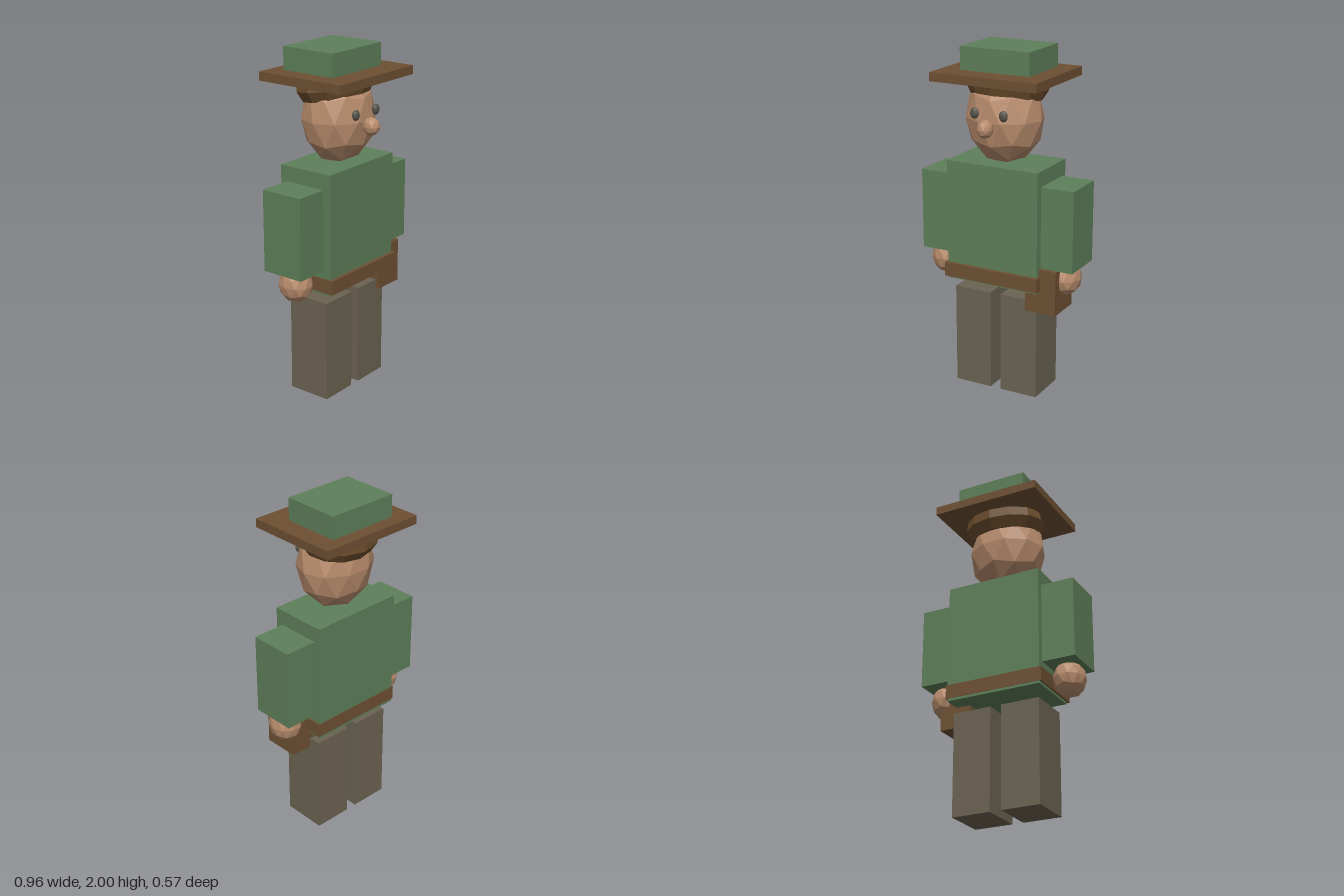
import * as THREE from 'three';

const paint = (name, color) => {
  const m = new THREE.MeshStandardMaterial({ color, flatShading: true });
  m.name = name;
  return m;
};

export function createModel() {
  const model = new THREE.Group();
  model.name = 'figure';
  const green = paint('green cloth', 0x5e7f59);
  const leather = paint('brown leather', 0x6e5033);
  const hairBrown = paint('brown hair', 0x6e4e2d);
  const trousers = paint('grey trousers', 0x6b6352);
  const skin = paint('skin', 0xb78b6c);
  const dark = paint('eye grey', 0x55544a);

  const add = (name, geometry, material) => {
    const mesh = new THREE.Mesh(geometry, material);
    mesh.name = name;
    model.add(mesh);
    return mesh;
  };
  // Box given by its lower and upper corner
  const box = (name, material, [x0, y0, z0], [x1, y1, z1]) =>
    add(name, new THREE.BoxGeometry(x1 - x0, y1 - y0, z1 - z0), material)
      .position.set((x0 + x1) / 2, (y0 + y1) / 2, (z0 + z1) / 2);
  // Faceted ball with a vertex at the top
  const ball = (name, material, radii, position) => {
    const g = new THREE.IcosahedronGeometry(1, 1);
    g.rotateX(-Math.atan((1 + Math.sqrt(5)) / 2));
    g.scale(...radii);
    add(name, g, material).position.set(...position);
  };

  // Body and belt
  box('torso', green, [-0.285, 0.66, -0.174], [0.285, 1.36, 0.17]);
  box('belt', leather, [-0.295, 0.675, -0.176], [0.295, 0.757, 0.192]);
  box('pouch', leather, [0.2, 0.54, -0.065], [0.39, 0.8, 0.146]);

  // Limbs
  for (const [side, s] of [['left', 1], ['right', -1]]) {
    const span = (a, b) => (s > 0 ? [a, b] : [-b, -a]);
    const [a0, a1] = span(0.28, 0.48);
    box(side + 'Arm', green, [a0, 0.8, -0.136], [a1, 1.27, 0.124]);
    const [l0, l1] = span(0.033, 0.262);
    box(side + 'Leg', trousers, [l0, 0, -0.136], [l1, 0.596, 0.126]);
    ball(side + 'Hand', skin, [0.093, 0.106, 0.101], [s * 0.384, 0.73, 0.006]);
    ball(side + 'Eye', dark, [0.026, 0.031, 0.018], [s * 0.089, 1.655, 0.193]);
  }

  // Head
  ball('head', skin, [0.228, 0.265, 0.198], [-0.002, 1.607, 0.007]);
  ball('nose', skin, [0.045, 0.052, 0.052], [-0.002, 1.583, 0.232]);

  // Hair: a cap tilted down at the back
  const profile = [[0, -0.06], [0.203, -0.06], [0.237, 0], [0.225, 0.055], [0, 0.11]];
  const hair = new THREE.LatheGeometry(profile.map(([x, y]) => new THREE.Vector2(x, y)), 12);
  hair.scale(1, 1, 0.87);
  hair.rotateX(-0.15);
  add('hair', hair, hairBrown).position.set(0, 1.772, -0.022);

  // Hat
  box('hatBrim', leather, [-0.325, 1.82, -0.285], [0.325, 1.87, 0.271]);
  box('hatCrown', green, [-0.213, 1.86, -0.208], [0.213, 2, 0.133]);
  return model;
}
